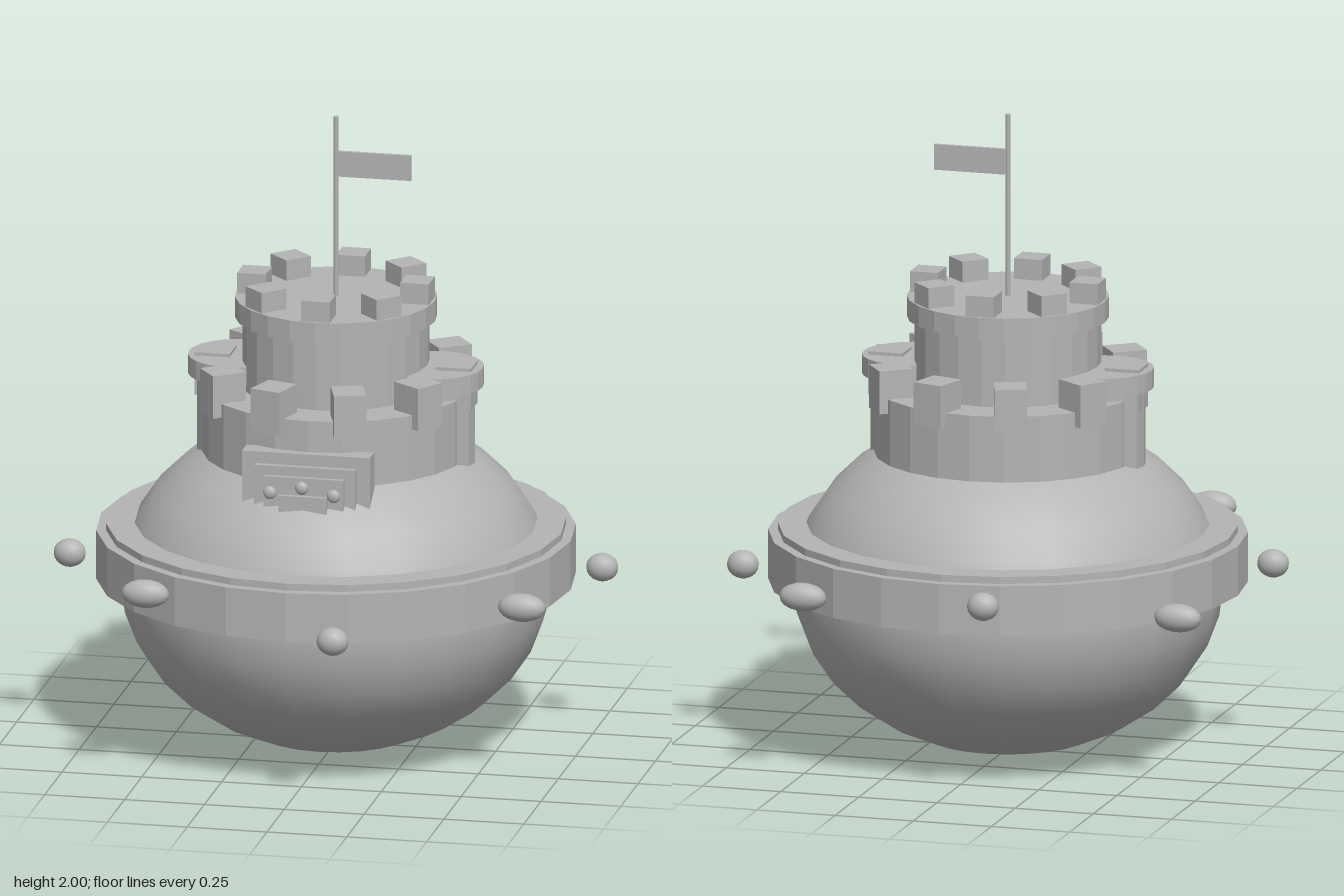
import * as THREE from 'three';

const stone = new THREE.MeshStandardMaterial({ color: 0xb4b4b4 });
stone.name = 'stone grey';

// Faceted copy of a geometry, so one material serves flat and smooth parts
function faceted(geometry) {
  const g = geometry.index ? geometry.toNonIndexed() : geometry;
  g.computeVertexNormals();
  return g;
}

function add(parent, name, geometry, x = 0, y = 0, z = 0) {
  const mesh = new THREE.Mesh(geometry, stone);
  mesh.name = name;
  mesh.position.set(x, y, z);
  parent.add(mesh);
  return mesh;
}

// Upright drum between two heights
function drum(parent, name, r, y0, y1, x = 0, sides = 24) {
  const g = faceted(new THREE.CylinderGeometry(r, r, y1 - y0, sides));
  return add(parent, name, g, x, (y0 + y1) / 2, 0);
}

function box(parent, name, x0, x1, y0, y1, z0, z1) {
  const g = new THREE.BoxGeometry(x1 - x0, y1 - y0, z1 - z0);
  return add(parent, name, g, (x0 + x1) / 2, (y0 + y1) / 2, (z0 + z1) / 2);
}

function ellipsoid(parent, name, rx, ry, rz, x, y, z, w = 16, h = 10) {
  const g = new THREE.SphereGeometry(1, w, h).scale(rx, ry, rz);
  return add(parent, name, g, x, y, z);
}

// Ring of blocks that face outward
function battlements(parent, name, count, r, width, depth, y0, y1) {
  const group = new THREE.Group();
  group.name = name;
  const g = new THREE.BoxGeometry(depth, y1 - y0, width);
  for (let i = 0; i < count; i++) {
    const a = (i / count) * Math.PI * 2;
    const block = add(group, 'merlon', g, Math.cos(a) * r, (y0 + y1) / 2, -Math.sin(a) * r);
    block.rotation.y = a;
  }
  parent.add(group);
}

export function createModel() {
  const model = new THREE.Group();
  model.name = 'floatingFortress';

  // Round hull with its stepped belt
  ellipsoid(model, 'hull', 0.66, 0.525, 0.66, 0, 0.53, 0, 24, 16);
  drum(model, 'belt', 0.735, 0.535, 0.69);
  drum(model, 'beltRim', 0.705, 0.69, 0.712);

  // Lower keep
  drum(model, 'lowerKeep', 0.41, 0.86, 1.145);
  battlements(model, 'lowerBattlements', 10, 0.378, 0.1, 0.11, 1.1, 1.235);

  // Side turrets
  for (const side of [-1, 1]) {
    const turret = new THREE.Group();
    turret.name = side > 0 ? 'leftTurret' : 'rightTurret';
    drum(turret, 'turretShaft', 0.125, 0.84, 1.165, side * 0.31, 16);
    drum(turret, 'turretCap', 0.155, 1.165, 1.225, side * 0.305, 24);
    model.add(turret);
  }

  // Upper keep
  drum(model, 'upperKeep', 0.287, 1.1, 1.37);
  drum(model, 'upperKeepCap', 0.31, 1.365, 1.43);
  battlements(model, 'upperBattlements', 8, 0.255, 0.09, 0.09, 1.42, 1.495);

  // Flag
  add(model, 'flagpole', new THREE.CylinderGeometry(0.008, 0.008, 0.58, 8), 0, 1.71, 0);
  box(model, 'flag', 0, 0.235, 1.81, 1.89, -0.006, 0.006);

  // Stepped gate at the front, with three studs
  const gate = new THREE.Group();
  gate.name = 'gate';
  box(gate, 'gateBack', -0.2, 0.2, 0.86, 1.047, 0.37, 0.436);
  box(gate, 'gateFrame', -0.158, 0.158, 0.86, 1.01, 0.43, 0.455);
  box(gate, 'gateDoor', -0.125, 0.125, 0.86, 0.98, 0.45, 0.47);
  box(gate, 'gateStep', -0.075, 0.075, 0.86, 0.925, 0.465, 0.486);
  for (const x of [-0.1, 0, 0.1]) {
    ellipsoid(gate, 'gateStud', 0.021, 0.021, 0.013, x, x ? 0.937 : 0.957, 0.498, 12, 8);
  }
  model.add(gate);

  // Eight stones hovering around the belt, alternately round and long
  const stones = new THREE.Group();
  stones.name = 'hoveringStones';
  for (let i = 0; i < 8; i++) {
    const a = 0.2 + (i * Math.PI) / 4;
    ellipsoid(stones, 'hoveringStone', i % 2 ? 0.075 : 0.05, 0.044, 0.041,
      Math.cos(a) * 0.815, 0.565 + (i % 3) * 0.04, -Math.sin(a) * 0.815);
  }
  model.add(stones);

  return model;
}
